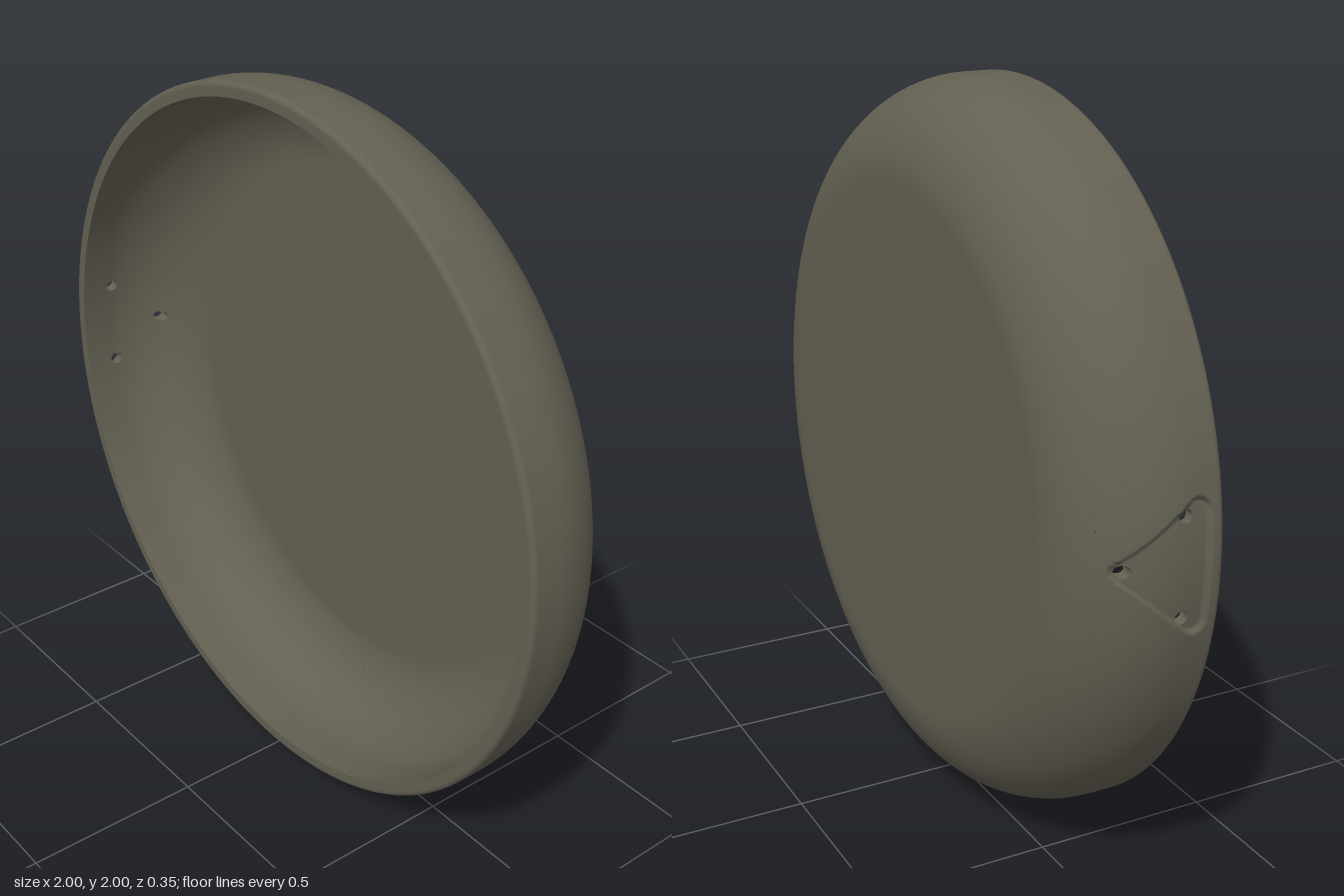
import * as THREE from 'three';

const BACK = -0.175, FRONT = 0.178, ARC_R = 0.73, ARC_Z = 0.095;
const OUTER = 0.27, INNER = 0.23;          // corner radii of the two skins
const SPAN = 0.22, Z0 = -0.11, Z1 = 0.16;  // patch of wall holding the handle mount
const STEP = 0.005, DEPTH = 0.012, HOLE = 0.018;
const HOLES = [[-0.13, 0.08], [0.13, 0.08], [0, -0.06]];

const material = new THREE.MeshStandardMaterial({ color: 0x636052 });
const twoSided = new THREE.MeshStandardMaterial({ color: 0x636052, side: THREE.DoubleSide });

// radius of a skin at depth z
function radiusAt(z, R) {
  const d = Math.min(0, z - ARC_Z);
  return ARC_R + Math.sqrt(Math.max(0, R * R - d * d));
}

// skin profile between two depths, evenly spaced along the arc
function wall(R, za, zb, n = 24) {
  const ang = z => Math.asin(Math.max(-1, Math.min(0, (z - ARC_Z) / R)));
  const pts = [];
  for (let i = 0; i <= n; i++) {
    const a = THREE.MathUtils.lerp(ang(za), ang(zb), i / n);
    pts.push(new THREE.Vector2(ARC_R + R * Math.cos(a), ARC_Z + R * Math.sin(a)));
  }
  if (zb > ARC_Z) pts.push(new THREE.Vector2(ARC_R + R, zb));
  return pts;
}

// lathe about the z axis
function turned(name, pts, start = 0, length = Math.PI * 2) {
  const mesh = new THREE.Mesh(new THREE.LatheGeometry(pts, 144, start, length).rotateX(Math.PI / 2), material);
  mesh.name = name;
  return mesh;
}

// point on the right wall: u = angle about z, z = depth
const onWall = (u, z, r) => [-r * Math.cos(u), 1 * r * Math.sin(u), z];

// distance from a point to a segment
function segment(p, a, b) {
  const dx = b[0] - a[0], dy = b[1] - a[1];
  const t = THREE.MathUtils.clamp(((p[0] - a[0]) * dx + (p[1] - a[1]) * dy) / (dx * dx + dy * dy), 0, 1);
  return Math.hypot(p[0] - a[0] - dx * t, p[1] - a[1] - dy * t);
}

// depth of the rounded triangular handle recess
function recess(u, z) {
  const A = [-0.14, 0.11], B = [0.14, 0.11], C = [0, -0.055];
  const p = [u, z];
  const inside = z < 0.11 && Math.abs(u) < 0.14 * (z + 0.055) / 0.165;
  const d = inside ? 0 : Math.min(segment(p, A, B), segment(p, B, C), segment(p, C, A));
  return DEPTH * THREE.MathUtils.clamp((0.032 - d) / 0.004, 0, 1);
}

const outerRadius = (u, z) => radiusAt(z, OUTER) - recess(u, z);
const innerRadius = (u, z) => radiusAt(z, INNER);

// wall patch as a fine grid, whose cells spread round the three holes
function patch(name, radius, outward) {
  const nu = Math.round(2 * SPAN / STEP), nz = Math.round((Z1 - Z0) / STEP);
  const pos = [], index = [], a = 0.015, b = 0.03;
  for (let j = 0; j <= nz; j++) for (let i = 0; i <= nu; i++) {
    let u = -SPAN + i * STEP, z = Z0 + j * STEP;
    for (const [hu, hz] of HOLES) {
      const du = u - hu, dz = z - hz, c = Math.max(Math.abs(du), Math.abs(dz));
      if (c > b || c < a - 1e-6) continue;
      const t = (c - a) / (b - a), k = HOLE / Math.hypot(du, dz);
      u = hu + du * (k + (1 - k) * t);
      z = hz + dz * (k + (1 - k) * t);
      break;
    }
    pos.push(...onWall(u, z, radius(u, z)));
  }
  for (let j = 0; j < nz; j++) for (let i = 0; i < nu; i++) {
    const cu = -SPAN + (i + 0.5) * STEP, cz = Z0 + (j + 0.5) * STEP;
    if (HOLES.some(([hu, hz]) => Math.max(Math.abs(cu - hu), Math.abs(cz - hz)) < a)) continue;
    const p = j * (nu + 1) + i, q = p + 1, r = p + nu + 1, s = r + 1;
    if (outward) index.push(p, r, q, q, r, s);
    else index.push(p, q, r, q, s, r);
  }
  return surface(name, pos, index, material);
}

function surface(name, pos, index, mat) {
  const g = new THREE.BufferGeometry();
  g.setAttribute('position', new THREE.Float32BufferAttribute(pos, 3));
  g.setIndex(index);
  g.computeVertexNormals();
  const mesh = new THREE.Mesh(g, mat);
  mesh.name = name;
  return mesh;
}

// tube joining both skins round a hole
function holeWall([hu, hz]) {
  const pos = [], index = [], n = 24;
  for (let i = 0; i <= n; i++) {
    const a = i / n * Math.PI * 2;
    const u = hu + HOLE * Math.cos(a), z = hz + HOLE * Math.sin(a);
    pos.push(...onWall(u, z, outerRadius(u, z)), ...onWall(u, z, innerRadius(u, z)));
    if (i < n) index.push(2 * i, 2 * i + 1, 2 * i + 2, 2 * i + 1, 2 * i + 3, 2 * i + 2);
  }
  return surface('rivetHole', pos, index, twoSided);
}

export function createModel() {
  const group = new THREE.Group();
  group.name = 'pan';
  const V = (x, y) => new THREE.Vector2(x, y);
  const start = Math.PI * 1.5 + SPAN, length = Math.PI * 2 - 2 * SPAN;

  // flat base with the start of the curved corner, outside and inside
  group.add(turned('base', [V(0, BACK), V(0.4, BACK), V(0.7, BACK), ...wall(OUTER, BACK, Z0)]));
  const floorZ = ARC_Z - INNER;
  group.add(turned('floor', [V(0, floorZ), V(0.4, floorZ), V(0.7, floorZ), ...wall(INNER, floorZ, Z0)].reverse()));

  // side walls, open where the handle mount sits
  group.add(turned('outerWall', wall(OUTER, Z0, Z1), start, length));
  group.add(turned('innerWall', wall(INNER, Z0, Z1).reverse(), start, length));
  group.add(patch('handleRecess', outerRadius, true));
  group.add(patch('handleInnerWall', innerRadius, false));
  HOLES.forEach(h => group.add(holeWall(h)));

  // rim with a rounded outer edge and a crisp inner one
  const rim = [V(1, Z1)], r = 0.015;
  for (let i = 0; i <= 6; i++) {
    const a = i / 6 * Math.PI / 2;
    rim.push(V(1 - r + r * Math.cos(a), FRONT - r + r * Math.sin(a)));
  }
  rim.push(V(0.975, FRONT), V(0.96, FRONT));
  group.add(turned('rim', rim));
  group.add(turned('rimInside', [V(0.96, FRONT), V(0.96, Z1)]));

  group.position.y = 1;
  const model = new THREE.Group();
  model.add(group);
  return model;
}
